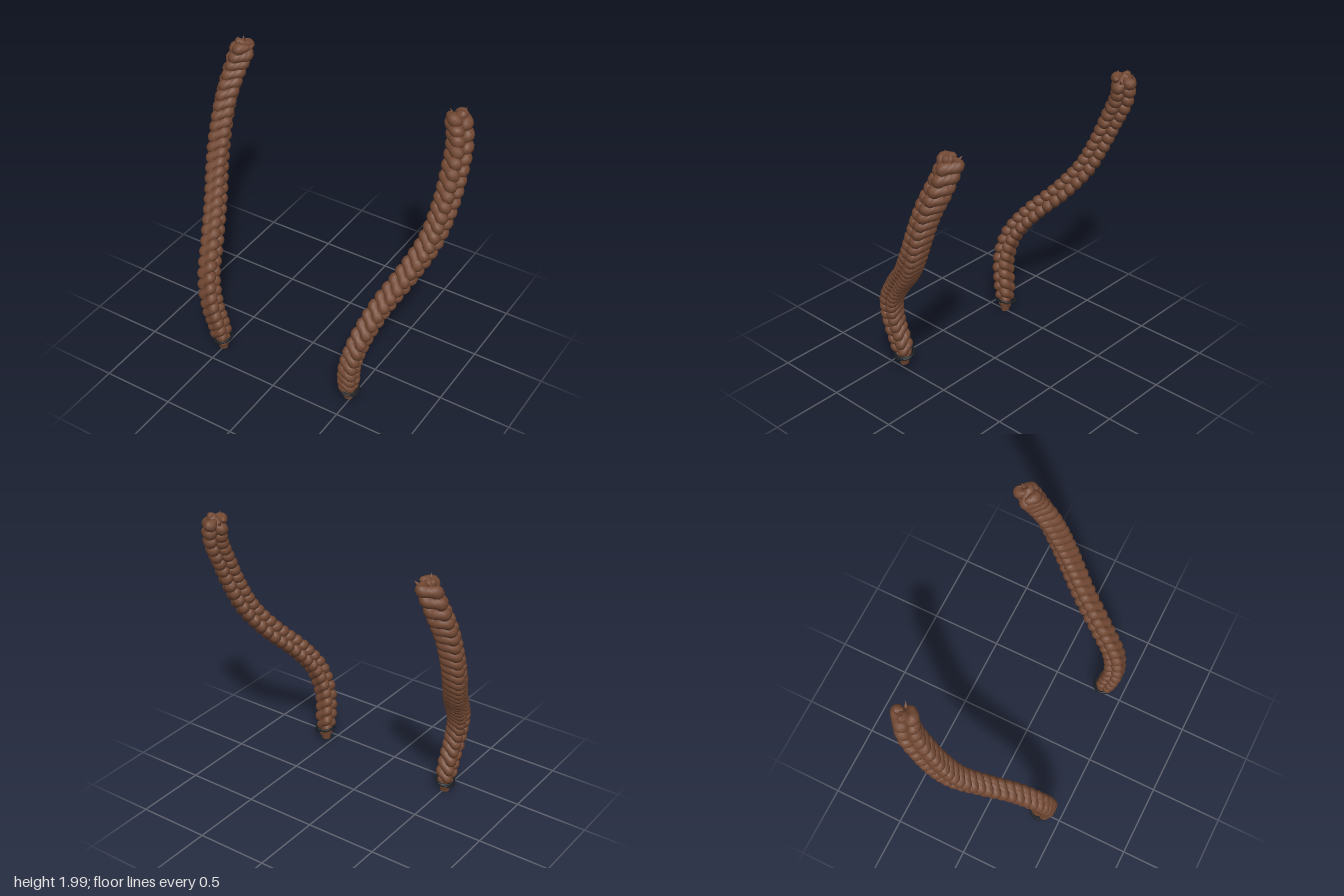
import * as THREE from 'three';
import { ParametricGeometry } from 'three/addons/geometries/ParametricGeometry.js';

const hair = new THREE.MeshStandardMaterial({ color: 0x724833 });
hair.name = 'brownHair';
const elastic = new THREE.MeshStandardMaterial({ color: 0x1b2024 });
elastic.name = 'blackElastic';

const TURNS = 10.5;                       // plait periods along the braid
const smooth = THREE.MathUtils.smoothstep;

// Centre line from tip to root; lift shortens the hanging end
function braidPath(lift) {
  const pts = [
    [0.505, 0.015 + lift, 0.36], [0.515, 0.2 + lift * 0.4, 0.38], [0.54, 0.4, 0.41], [0.585, 0.6, 0.375],
    [0.645, 0.8, 0.24], [0.735, 1.0, 0.06], [0.81, 1.2, -0.08], [0.84, 1.4, -0.175],
    [0.845, 1.6, -0.26], [0.825, 1.8, -0.355], [0.775, 1.96, -0.395],
  ];
  const curve = new THREE.CatmullRomCurve3(pts.map(p => new THREE.Vector3(...p)));
  curve.arcLengthDivisions = 400;
  return curve;
}

// Frame of the braid: flat face looks outward and turns forward near the root
function frameAt(curve, v) {
  const T = curve.getTangentAt(v);
  const turn = 0.7 * smooth(v, 0.35, 1);
  const N = new THREE.Vector3(Math.cos(turn), 0, Math.sin(turn));
  N.addScaledVector(T, -N.dot(T)).normalize();
  return { P: curve.getPointAt(v), N, B: new THREE.Vector3().crossVectors(T, N) };
}

// Overall thickness: tapered tip, slightly fuller root
const fullness = v => (0.5 + 0.5 * smooth(v, 0, 0.07)) * (0.94 + 0.18 * v);

// One of three strands weaving in a figure of eight round the centre line
function strandGeometry(curve, phase, side) {
  const centre = v => {
    v = THREE.MathUtils.clamp(v, 0, 1);
    const { P, N, B } = frameAt(curve, v);
    const a = v * TURNS * Math.PI * 2 + phase, s = fullness(v);
    return { C: P.addScaledVector(N, 0.031 * s * Math.sin(2 * a)).addScaledVector(B, 0.042 * s * Math.sin(a)), N, a, s };
  };
  return new ParametricGeometry((u, v, target) => {
    const { C, N, a, s } = centre(v);
    const S = centre(v + 0.001).C.sub(centre(v - 0.001).C).normalize();
    const e1 = N.addScaledVector(S, -N.dot(S)).normalize();
    const e2 = new THREE.Vector3().crossVectors(S, e1);
    // plump on the visible bends, rounded off at both ends
    const end = Math.sqrt(Math.max(0, Math.min(1, v / 0.012, (1 - v) / 0.012)));
    const r = 0.035 * s * end * (1 - 0.12 * Math.cos(4 * a));
    const th = side * u * Math.PI * 2;
    target.copy(C).addScaledVector(e1, r * Math.cos(th)).addScaledVector(e2, r * Math.sin(th));
    target.x *= side;
  }, 12, 360);
}

function makeBraid(side, lift, name) {
  const braid = new THREE.Group();
  braid.name = name;
  const curve = braidPath(lift);
  for (let i = 0; i < 3; i++) {
    const strand = new THREE.Mesh(strandGeometry(curve, i * Math.PI * 2 / 3, side), hair);
    strand.name = 'strand' + (i + 1);
    braid.add(strand);
  }

  // Loose ends of hair at the root
  const { P, N, B } = frameAt(curve, 0.99);
  const T = curve.getTangentAt(1);
  for (let i = 0; i < 6; i++) {
    const a = i * Math.PI / 3 + 0.4;
    const out = N.clone().multiplyScalar(Math.cos(a)).addScaledVector(B, Math.sin(a));
    const dir = T.clone().addScaledVector(out, 0.45).normalize();
    const pos = P.clone().addScaledVector(out, 0.048).addScaledVector(T, 0.004 + 0.006 * (i % 2));
    pos.x *= side;
    dir.x *= side;
    const tuft = new THREE.Mesh(new THREE.ConeGeometry(0.021, 0.065, 7), hair);
    tuft.name = 'rootTuft';
    tuft.position.copy(pos);
    tuft.quaternion.setFromUnitVectors(new THREE.Vector3(0, 1, 0), dir);
    braid.add(tuft);
  }

  // Gathered hair below the tie
  const tip = new THREE.Mesh(new THREE.CylinderGeometry(0.05, 0.032, 0.1, 14), hair);
  tip.name = 'tip';
  tip.scale.z = 0.8;
  tip.position.set(side * 0.505, 0.057 + lift, 0.363);
  braid.add(tip);

  // Doubled hair tie, tilted down on the outer side
  [[0, 0.066, 0.26], [0.012, 0.064, 0.14]].forEach(([dy, radius, tilt]) => {
    const tie = new THREE.Mesh(new THREE.TorusGeometry(radius, 0.008, 8, 32).rotateX(Math.PI / 2), elastic);
    tie.name = 'hairTie';
    tie.position.set(side * 0.508, 0.087 + lift + dy, 0.357);
    tie.rotation.set(0.1 - dy * 12, 0, -side * tilt);
    braid.add(tie);
  });
  return braid;
}

export function createModel() {
  const model = new THREE.Group();
  model.name = 'hairBraids';
  model.add(makeBraid(1, 0.052, 'leftBraid'), makeBraid(-1, 0, 'rightBraid'));
  return model;
}
